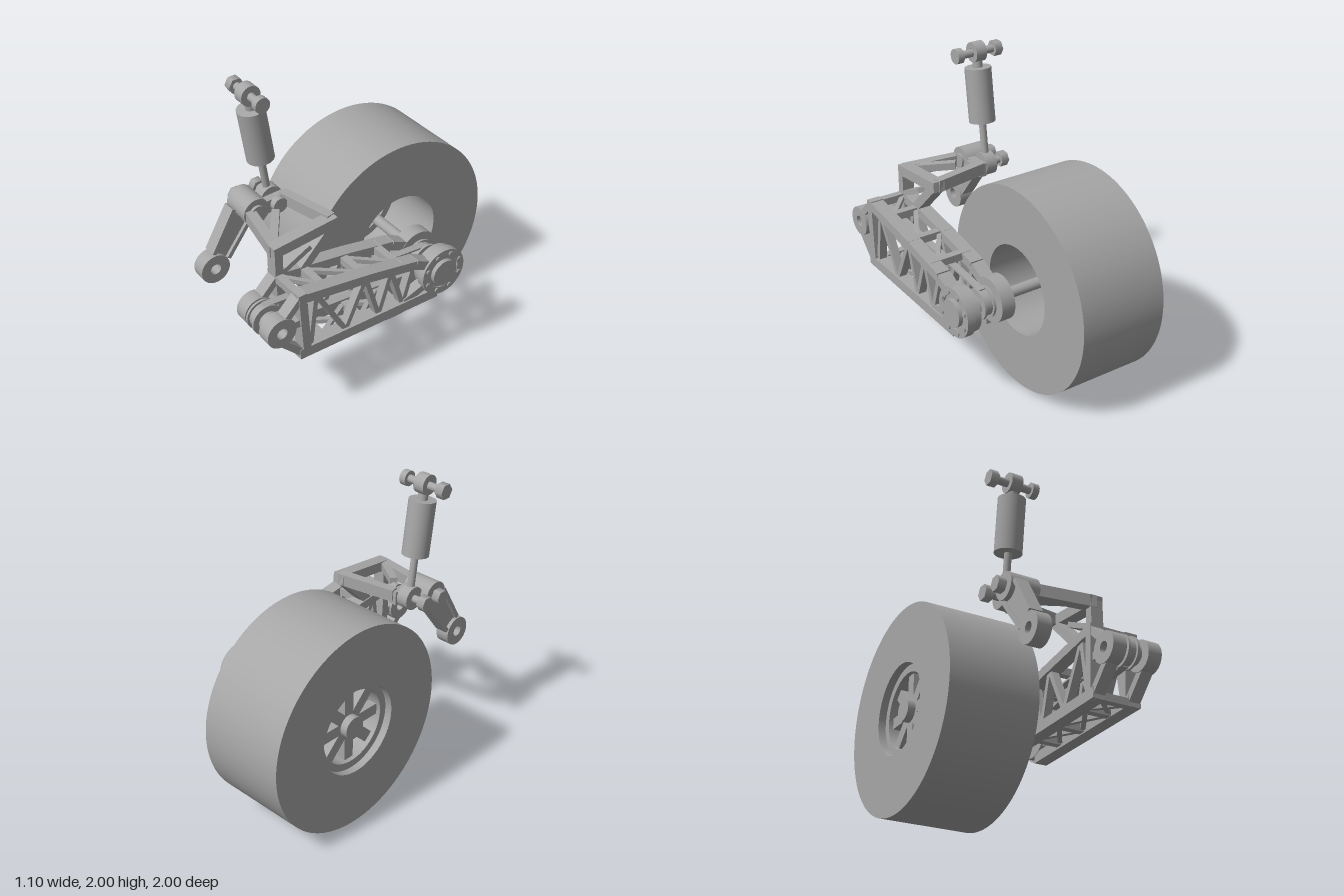
import * as THREE from 'three';

const V = (x, y, z) => new THREE.Vector3(x, y, z);

export function createModel() {
  const root = new THREE.Group();
  const grey = new THREE.MeshStandardMaterial({ color: 0xa6a6a6 });
  grey.name = 'plain grey';

  const group = (name) => {
    const g = new THREE.Group();
    g.name = name;
    root.add(g);
    return g;
  };
  const add = (parent, name, geometry) => {
    const m = new THREE.Mesh(geometry, grey);
    m.name = name;
    parent.add(m);
    return m;
  };
  // Rectangular bar from a to b; w is its horizontal width, h its depth
  const beam = (parent, name, a, b, w, h) => {
    const m = add(parent, name, new THREE.BoxGeometry(w, h, a.distanceTo(b)));
    m.position.copy(a).add(b).multiplyScalar(0.5);
    m.quaternion.setFromRotationMatrix(new THREE.Matrix4().lookAt(a, b, V(0, 1, 0)));
    return m;
  };
  // Round bar from a to b
  const rod = (parent, name, a, b, r, sides = 32) => {
    const m = add(parent, name, new THREE.CylinderGeometry(r, r, a.distanceTo(b), sides));
    m.position.copy(a).add(b).multiplyScalar(0.5);
    m.quaternion.setFromUnitVectors(V(0, 1, 0), b.clone().sub(a).normalize());
    return m;
  };
  const rodX = (parent, name, r, x0, x1, y, z, sides) =>
    rod(parent, name, V(x0, y, z), V(x1, y, z), r, sides);
  // Solid ring with its axis along x
  const ringX = (parent, name, r, hole, x0, x1, y, z) => {
    const s = new THREE.Shape().absarc(0, 0, r, 0, Math.PI * 2);
    s.holes.push(new THREE.Path().absarc(0, 0, hole, 0, Math.PI * 2, true));
    const g = new THREE.ExtrudeGeometry(s, { depth: x1 - x0, bevelEnabled: false, curveSegments: 40 });
    g.rotateY(Math.PI / 2);
    const m = add(parent, name, g);
    m.position.set(x0, y, z);
    return m;
  };

  const AY = 0.69, AZ = -0.31;   // wheel axle
  const PY = 0.785, PZ = 0.9;    // swing arm pivot

  // Wheel: tyre, recessed rim, eight spokes and hub
  const wheel = group('wheel');
  const tyre = new THREE.Shape().absarc(0, 0, 0.69, 0, Math.PI * 2);
  tyre.holes.push(new THREE.Path().absarc(0, 0, 0.3, 0, Math.PI * 2, true));
  const tyreGeo = new THREE.ExtrudeGeometry(tyre, { depth: 0.61, bevelEnabled: false, curveSegments: 96 });
  add(wheel, 'tyre', tyreGeo.rotateY(Math.PI / 2)).position.set(-0.55, AY, AZ);
  ringX(wheel, 'rim', 0.302, 0.25, -0.5, -0.38, AY, AZ);
  for (let i = 0; i < 8; i++) {
    const a = i * Math.PI / 4;
    const spoke = add(wheel, 'spoke', new THREE.BoxGeometry(0.06, 0.22, 0.075));
    spoke.position.set(-0.44, AY + Math.cos(a) * 0.16, AZ + Math.sin(a) * 0.16);
    spoke.rotation.x = a;
  }
  rodX(wheel, 'hub', 0.075, -0.52, -0.36, AY, AZ);
  rodX(wheel, 'axle', 0.037, -0.4, 0.53, AY, AZ);

  // Swing arm: two truss sides
  const arm = group('swingArm');
  const topLine = [[0.75, 0.968], [0.245, 0.893], [-0.1, 0.828], [-0.22, 0.77]];
  const top = [[0.64, 0.94], [0.28, 0.89], [0.085, 0.85], [-0.09, 0.82]];
  const bottom = [[0.69, 0.57], [0.43, 0.565], [0.18, 0.56], [-0.01, 0.55]];
  for (const x of [0.22, 0.468]) {
    const side = new THREE.Group();
    side.name = 'trussSide';
    arm.add(side);
    const bar = (name, p, q, w, h) => beam(side, name, V(x, p[1], p[0]), V(x, q[1], q[0]), w, h);
    for (let i = 0; i < 3; i++) bar('topRail', topLine[i], topLine[i + 1], 0.09, 0.062);
    bar('bottomRail', [0.775, 0.552], [-0.28, 0.53], 0.09, 0.07);
    bar('frontPost', [0.748, 1.0], [0.722, 0.52], 0.09, 0.055);
    bar('rearStay', [-0.02, 0.56], [-0.25, 0.64], 0.07, 0.05);
    for (let i = 0; i < 4; i++) {
      bar('web', bottom[i], top[i], 0.055, 0.032);
      if (i < 3) bar('web', top[i], bottom[i + 1], 0.055, 0.032);
    }
    // Front pivot lug and its two stays
    ringX(side, 'pivotLug', 0.1, 0.036, x - 0.047, x + 0.047, PY, PZ);
    bar('lugStay', [0.86, 0.86], [0.745, 0.975], 0.08, 0.045);
    bar('lugStay', [0.9, 0.705], [0.735, 0.535], 0.08, 0.045);
    bar('lugStay', [0.83, 0.785], [0.73, 0.785], 0.06, 0.05);
    // Rear axle bearing
    rodX(side, 'axleBearing', 0.15, x - 0.048, x + 0.048, AY, AZ, 48);
  }

  // Cross members joining the two sides
  const topY = (z) => 0.968 - (0.75 - z) * 0.155;
  for (const z of [0.75, 0.57, 0.28, 0.02]) {
    beam(arm, 'topCross', V(0.2, topY(z), z), V(0.49, topY(z), z), 0.05, 0.05);
    beam(arm, 'bottomCross', V(0.2, 0.54, z), V(0.49, 0.54, z), 0.05, 0.05);
  }
  for (const [z0, z1] of [[0.74, 0.57], [0.57, 0.28], [0.28, 0.02]]) {
    beam(arm, 'topBrace', V(0.26, topY(z0), z0), V(0.43, topY(z1), z1), 0.03, 0.03);
    beam(arm, 'bottomBrace', V(0.26, 0.54, z0), V(0.43, 0.54, z1), 0.03, 0.03);
    beam(arm, 'bottomBrace', V(0.43, 0.54, z0), V(0.26, 0.54, z1), 0.03, 0.03);
  }

  // Outer axle flange with bolts and cap
  const flange = group('axleFlange');
  ringX(flange, 'flangeRing', 0.165, 0.115, 0.47, 0.527, AY, AZ);
  rodX(flange, 'cap', 0.092, 0.5, 0.545, AY, AZ);
  for (let i = 0; i < 8; i++) {
    const a = (i + 0.5) * Math.PI / 4;
    rodX(flange, 'bolt', 0.017, 0.5, 0.537, AY + Math.cos(a) * 0.135, AZ + Math.sin(a) * 0.135, 6);
  }

  // Belt drive between the front pivot and the axle
  const drive = group('beltDrive');
  for (const [y, z] of [[AY, AZ], [PY, PZ]]) {
    ringX(drive, 'pulley', 0.086, 0.036, 0.295, 0.345, y, z);
    for (const x of [0.28, 0.345]) ringX(drive, 'pulleyFlange', 0.102, 0.036, x, x + 0.015, y, z);
    ringX(drive, 'spacer', 0.065, 0.036, 0.365, 0.4, y, z);
  }
  for (const d of [-0.088, 0.088])
    beam(drive, 'belt', V(0.32, AY + d, AZ), V(0.32, PY + d, PZ), 0.05, 0.012);

  // Upper rocker frame rising from the inner truss side
  const rocker = group('rockerFrame');
  const inner = (name, y0, z0, y1, z1, h) =>
    beam(rocker, name, V(0.225, y0, z0), V(0.225, y1, z1), 0.085, h);
  inner('post', 0.97, 0.748, 1.18, 0.748, 0.055);
  inner('topBar', 1.155, 0.775, 1.2, 0.32, 0.07);
  inner('diagonal', 1.19, 0.345, 0.95, 0.58, 0.06);
  inner('brace', 1.0, 0.72, 1.1, 0.52, 0.035);
  beam(rocker, 'rearBeam', V(0.23, 1.2, 0.345), V(-0.17, 1.19, 0.43), 0.06, 0.08);
  beam(rocker, 'frontBeam', V(0.23, 1.15, 0.75), V(-0.17, 1.16, 0.68), 0.065, 0.08);
  beam(rocker, 'diagonalBrace', V(0.2, 1.16, 0.74), V(-0.05, 1.19, 0.56), 0.05, 0.05);
  beam(rocker, 'endBar', V(-0.17, 1.175, 0.41), V(-0.17, 1.165, 0.72), 0.055, 0.09);
  ringX(rocker, 'endLug', 0.09, 0.025, -0.2, -0.14, 1.17, 0.64);

  // Crank hanging from the rocker frame
  const crank = group('crank');
  const CX = -0.285;
  ringX(crank, 'upperLug', 0.09, 0.025, -0.34, -0.2, 1.17, 0.64);
  ringX(crank, 'lowerLug', 0.1, 0.036, -0.333, -0.237, PY, PZ);
  beam(crank, 'web', V(CX, 1.12, 0.673), V(CX, 0.86, 0.85), 0.045, 0.13);
  for (const s of [-1, 1])
    beam(crank, 'edge', V(CX, 1.125 + s * 0.045, 0.673 + s * 0.066),
      V(CX, 0.86 + s * 0.035, 0.85 + s * 0.05), 0.09, 0.028);

  // Bolts: shaft with a hexagonal head and a nut
  const hardware = group('bolts');
  const boltX = (x0, x1, y, z) => {
    rodX(hardware, 'boltShaft', 0.026, x0, x1, y, z, 24);
    rodX(hardware, 'boltHead', 0.052, x0, x0 + 0.055, y, z, 6);
    rodX(hardware, 'boltNut', 0.05, x1 - 0.045, x1, y, z, 24);
  };
  boltX(-0.42, -0.08, 1.93, 0.594);
  boltX(-0.4, -0.1, 1.18, 0.49);
  boltX(-0.4, -0.12, 1.17, 0.64);

  // Shock absorber
  const shock = group('shockAbsorber');
  const SX = -0.245;
  const low = V(SX, 1.18, 0.49), high = V(SX, 1.934, 0.594);
  const at = (t) => low.clone().lerp(high, t);
  ringX(shock, 'lowerEye', 0.078, 0.025, -0.285, -0.205, low.y, low.z);
  ringX(shock, 'upperEye', 0.066, 0.025, -0.285, -0.208, high.y, high.z);
  rod(shock, 'pistonRod', at(0.09), at(0.4), 0.024);
  rod(shock, 'body', at(0.385), at(0.865), 0.088, 48);
  rod(shock, 'neck', at(0.86), at(0.93), 0.032);

  return root;
}
